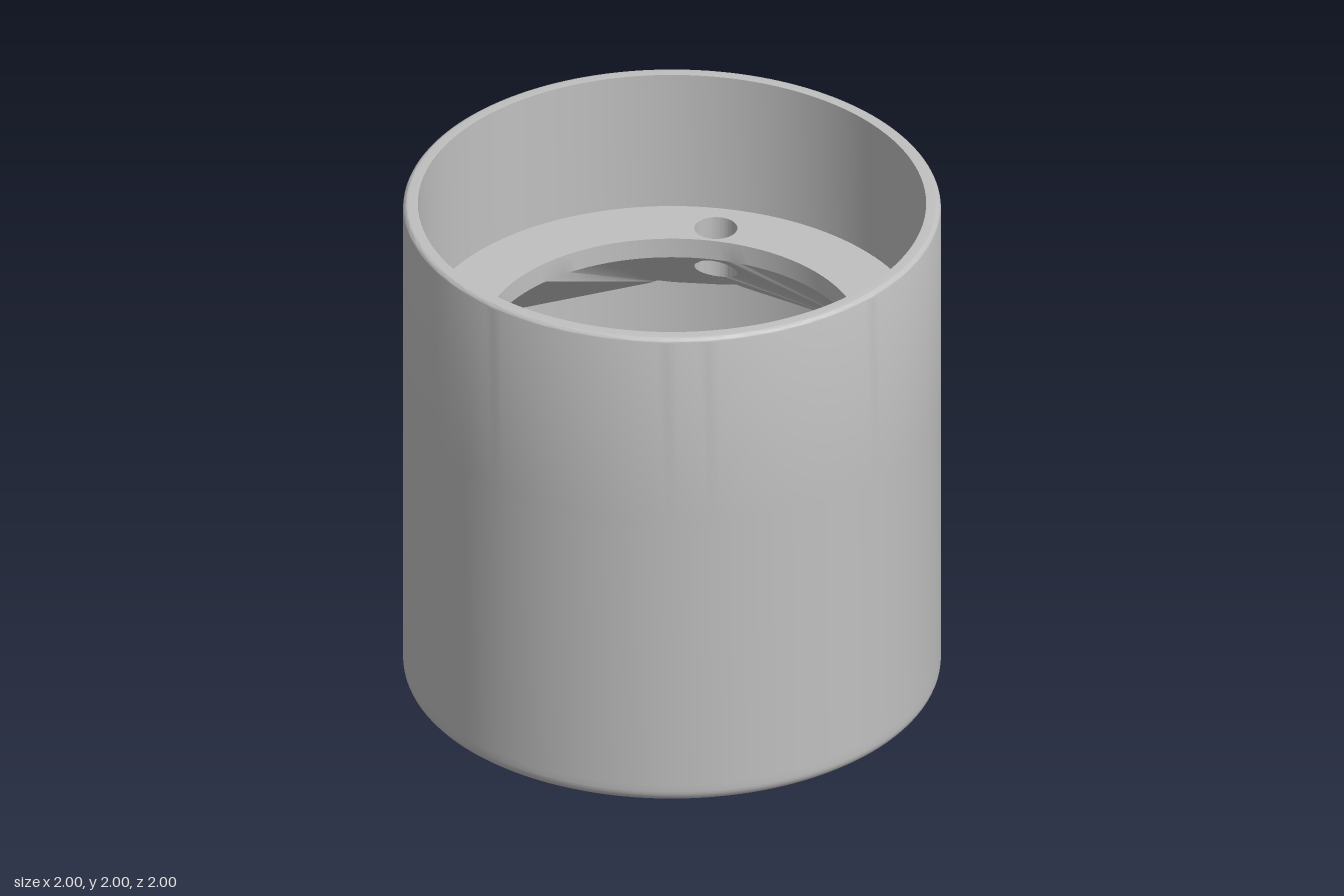
import * as THREE from 'three';
import { toCreasedNormals } from 'three/addons/utils/BufferGeometryUtils.js';

const R = 1, RI = 0.945;              // outer and inner wall radius
const FLOOR = 0.06, LEDGE = 1.435, LEDGE_R = 0.705;
const BAND0 = 0.08, BAND1 = 1.2;      // height range of the drilled band
const SEG = 160, HALF = Math.PI / 20; // half angle of the drilled panel (8 segments wide)

export function createModel() {
  const group = new THREE.Group();
  const grey = new THREE.MeshStandardMaterial({ color: 0xc0c0c0, side: THREE.DoubleSide });
  grey.name = 'grey';

  const add = (name, geometry) => {
    const mesh = new THREE.Mesh(geometry, grey);
    mesh.name = name;
    group.add(mesh);
  };

  // Turned part; the profile runs up the outside and down the inside
  const turn = (name, pts, full = true) => {
    const start = Math.PI * 1.5 + HALF;
    const geo = new THREE.LatheGeometry(
      pts.map(([x, y]) => new THREE.Vector2(x, y)),
      full ? SEG : SEG - 8, start, Math.PI * 2 - (full ? 0 : 2 * HALF));
    add(name, toCreasedNormals(geo, 0.6));
  };

  // Quarter-round from angle a0 to a0 + 90 degrees
  const fillet = (cx, cy, r, a0) => Array.from({ length: 7 }, (_, i) => {
    const a = a0 + (i / 6) * Math.PI / 2;
    return [cx + r * Math.cos(a), cy + r * Math.sin(a)];
  });

  // Base with rounded lower edge and floor
  turn('base', [[0, 0], ...fillet(0.95, 0.05, 0.05, -Math.PI / 2), [R, BAND0]]);
  turn('floor', [[RI, BAND0], [RI, FLOOR], [0, FLOOR]]);

  // Wall beside and above the drilled panel
  turn('outerWall', [[R, BAND0], [R, BAND1]], false);
  turn('innerWall', [[RI, BAND1], [RI, BAND0]], false);
  turn('upperWall', [[R, BAND1], ...fillet(0.98, 1.98, 0.02, 0), [RI, 2], [RI, BAND1]]);

  // Grid surface whose vertices follow fn(u, v)
  const sheet = (name, nu, nv, fn) => {
    const geo = new THREE.PlaneGeometry(1, 1, nu, nv);
    const p = geo.attributes.position;
    for (let i = 0; i < p.count; i++) p.setXYZ(i, ...fn(p.getX(i) + 0.5, p.getY(i) + 0.5));
    geo.computeVertexNormals();
    add(name, geo);
  };

  // Point on the wall at angle s from -x
  const bend = (r, s, y) => [-r * Math.cos(s), y, r * Math.sin(s)];

  // Wall patch of one hole: loops spread from the circle to the patch border
  const drilledPatch = (name, y0, y1, cy, rad) => {
    const corners = [[HALF, y0], [HALF, y1], [-HALF, y1], [-HALF, y0], [HALF, y0]];
    const border = (u) => {
      const t = (((u % 1) + 1) % 1) * 4, k = Math.floor(t), f = t - k;
      return [0, 1].map((j) => corners[k][j] + (corners[k + 1][j] - corners[k][j]) * f);
    };
    const at = (r, u, v) => {
      const [bs, by] = border(u);
      const a = Math.atan2(by - cy, bs);
      const s = rad * Math.cos(a), y = cy + rad * Math.sin(a);
      return bend(r, s + (bs - s) * v, y + (by - y) * v);
    };
    sheet(name + 'Outside', 32, 5, (u, v) => at(R, -u, v));
    sheet(name + 'Inside', 32, 5, (u, v) => at(RI, u, v));
    sheet(name + 'Bore', 32, 1, (u, v) => at(RI + (R - RI) * v, -u, 0));
  };
  drilledPatch('lowerScrewHole', BAND0, 0.37, 0.235, 0.042);
  drilledPatch('cableHole', 0.37, 0.79, 0.563, 0.12);
  drilledPatch('upperScrewHole', 0.79, BAND1, 0.988, 0.042);

  // Inner ledge with three screw holes and a sloping underside
  const ring = new THREE.Shape().absarc(0, 0, RI + 0.008, 0, Math.PI * 2);
  ring.holes.push(new THREE.Path().absarc(0, 0, LEDGE_R, 0, Math.PI * 2, true));
  for (let i = 0; i < 3; i++) {
    const a = (i * Math.PI * 2) / 3;
    ring.holes.push(new THREE.Path().absarc(
      0.8 * Math.cos(a), 0.8 * Math.sin(a), 0.08, 0, Math.PI * 2, true));
  }
  const ledge = new THREE.ExtrudeGeometry(ring, { depth: 1, bevelEnabled: false, curveSegments: 80 });
  ledge.rotateX(-Math.PI / 2);
  const p = ledge.attributes.position;
  for (let i = 0; i < p.count; i++) {
    const r = Math.hypot(p.getX(i), p.getZ(i));
    p.setY(i, p.getY(i) > 0.5 ? LEDGE : LEDGE - 0.08 - (r - LEDGE_R));
  }
  add('ledge', toCreasedNormals(ledge, 0.5));

  return group;
}
